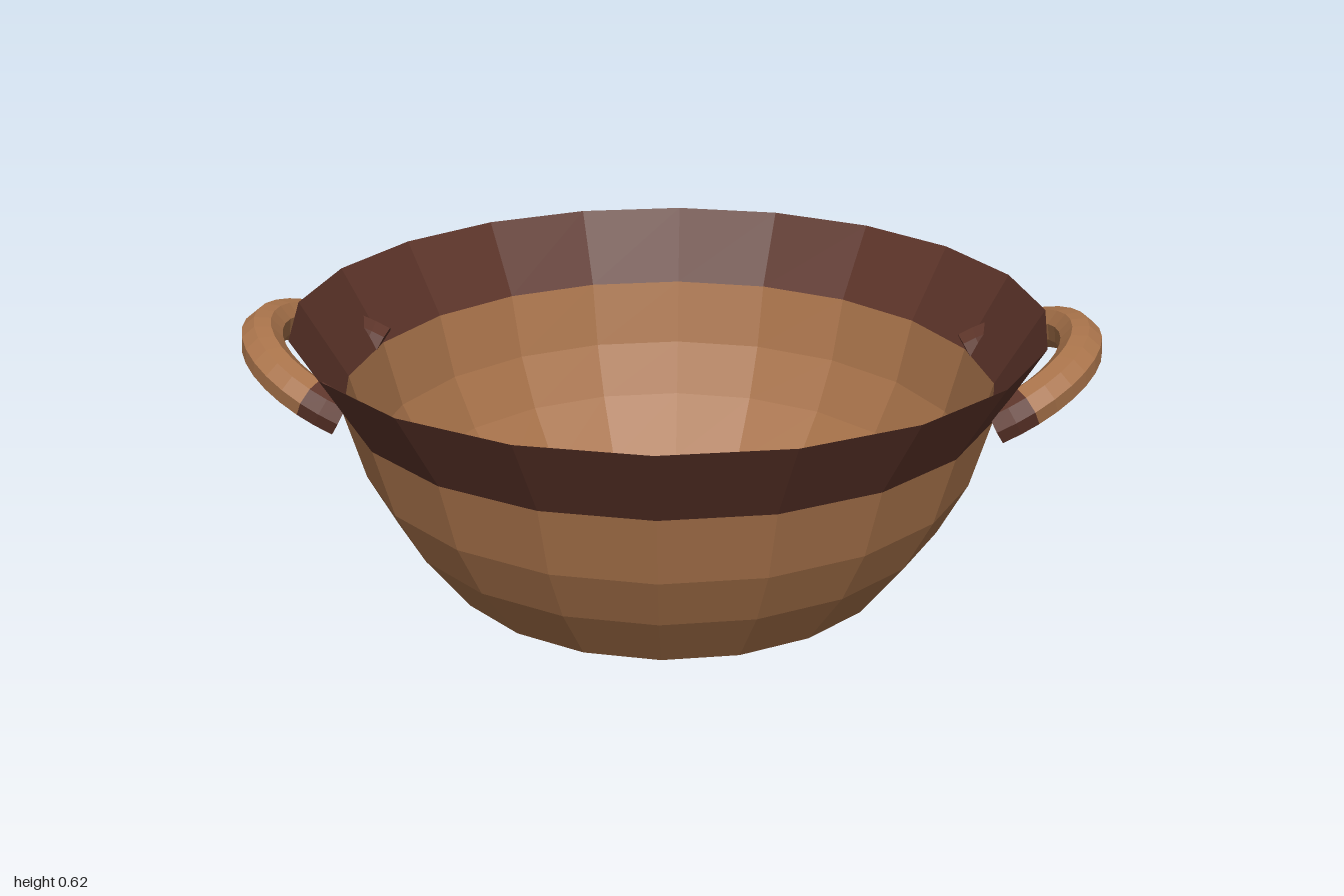
import * as THREE from 'three';

const clay = new THREE.MeshStandardMaterial({ color: 0xaa744b, flatShading: true, side: THREE.DoubleSide });
const dark = new THREE.MeshStandardMaterial({ color: 0x5e352a, flatShading: true, side: THREE.DoubleSide });
const SIDES = 20;
const RING = 0.235, TUBE = 0.05, TILT = 0.506;
const GRIP = THREE.MathUtils.degToRad(75);  // half arc of the light grip
const END = THREE.MathUtils.degToRad(94);   // half arc including the dark ends

function part(name, geometry, material) {
  const mesh = new THREE.Mesh(geometry, material);
  mesh.name = name;
  return mesh;
}

function lathe(points) {
  return new THREE.LatheGeometry(points.map(([r, y]) => new THREE.Vector2(r, y)), SIDES);
}

// piece of the handle ring between two angles, bulging towards +x
function ringPiece(from, to, segments) {
  return new THREE.TorusGeometry(RING, TUBE, 8, segments, to - from).rotateZ(from);
}

// lay the ring flat, then tip its outer side up
function place(geometry) {
  return geometry.rotateX(Math.PI / 2).rotateZ(TILT).translate(0.745, 0.44, 0);
}

function createHandle(name) {
  const handle = new THREE.Group();
  handle.name = name;
  handle.add(part('grip', place(ringPiece(-GRIP, GRIP, 14)), clay));
  for (const s of [-1, 1]) {
    const sleeve = s > 0 ? ringPiece(GRIP, END, 2) : ringPiece(-END, -GRIP, 2);
    handle.add(part('handleEnd', place(sleeve), dark));
    const cap = new THREE.CircleGeometry(TUBE, 8)
      .rotateX(-s * Math.PI / 2).translate(RING, 0, 0).rotateZ(s * END);
    handle.add(part('handleEndCap', place(cap), dark));
  }
  return handle;
}

export function createModel() {
  const model = new THREE.Group();
  model.name = 'bowl';

  // thin faceted wall, flared rim band and floor
  model.add(part('wall', lathe([[0.55, 0], [0.655, 0.145], [0.72, 0.275], [0.763, 0.437]]), clay));
  model.add(part('rim', lathe([[0.763, 0.437], [0.867, 0.62]]), dark));
  model.add(part('floor', new THREE.CircleGeometry(0.55, SIDES).rotateX(-Math.PI / 2), dark));

  // a pair of ring handles pushed through the wall
  const leftHandle = createHandle('leftHandle');
  const rightHandle = createHandle('rightHandle');
  rightHandle.rotation.y = Math.PI;
  model.add(leftHandle, rightHandle);

  return model;
}
